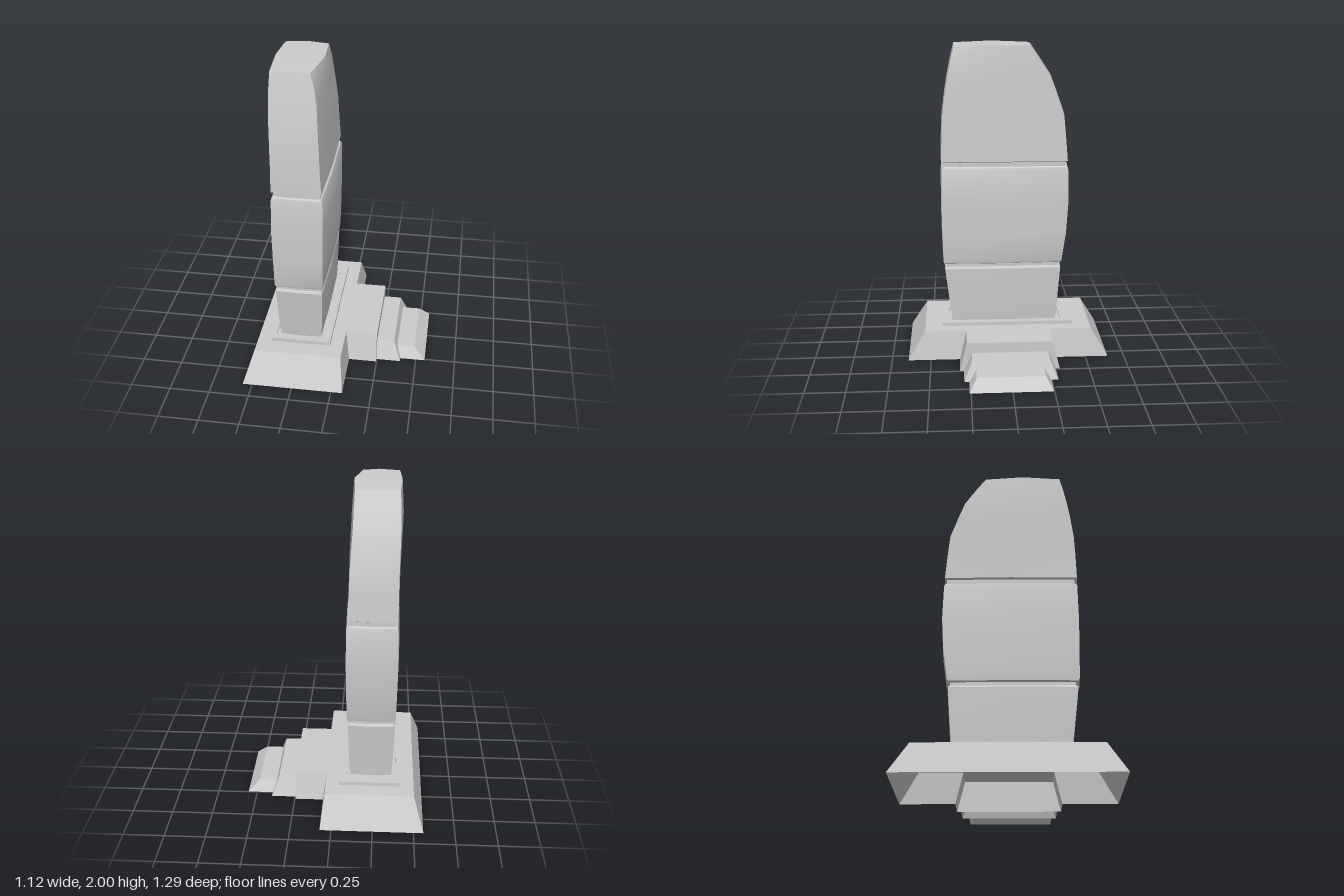
import * as THREE from 'three';
import { toCreasedNormals } from 'three/addons/utils/BufferGeometryUtils.js';

const material = new THREE.MeshStandardMaterial({ color: 0xcccccc, side: THREE.DoubleSide });

// Skins a stack of rings (each a list of [x, y, z], anticlockwise from above).
function loft(rings, { closed = true, cap = null } = {}) {
  const n = rings[0].length;
  const points = rings.flat();
  const index = [];
  for (let r = 0; r < rings.length - 1; r++) {
    for (let i = 0; i < (closed ? n : n - 1); i++) {
      const j = (i + 1) % n;
      const a = r * n + i, b = r * n + j;
      index.push(a, b, b + n, a, b + n, a + n);
    }
  }
  if (cap) {
    const start = (rings.length - 1) * n;
    points.push(cap);
    for (let i = 0; i < n; i++) index.push(start + i, start + (i + 1) % n, points.length - 1);
  }
  const geometry = new THREE.BufferGeometry();
  geometry.setAttribute('position', new THREE.Float32BufferAttribute(points.flat(), 3));
  geometry.setIndex(index);
  return toCreasedNormals(geometry, 0.4);
}

function part(name, geometry) {
  const mesh = new THREE.Mesh(geometry, material);
  mesh.name = name;
  return mesh;
}

const rect = (y, x0, x1, zBack, zFront) =>
  [[x1, y, zFront], [x1, y, zBack], [x0, y, zBack], [x0, y, zFront]];

// Platform outline: a long rectangle with a landing on its left side
const platformRing = (y, x0, x1, z, landingZ) => [
  [x1, y, z], [x1, y, landingZ], [0.245, y, landingZ], [0.245, y, -landingZ],
  [x1, y, -landingZ], [x1, y, -z], [x0, y, -z], [x0, y, z],
];

// Stone section: four corners, with the middle of each side pushed out
function stoneRing([y, x0, x1, zBack, zFront, bulge]) {
  const xm = (x0 + x1) / 2, zm = (zBack + zFront) / 2;
  const l = x0 + bulge, r = x1 - bulge;
  return [
    [r, y, zFront - 0.006], [x1, y, zm], [r, y, zBack + 0.01], [xm, y, zBack],
    [l, y, zBack + 0.01], [x0, y, zm], [l, y, zFront - 0.006], [xm, y, zFront],
  ];
}

export function createModel() {
  const group = new THREE.Group();
  group.name = 'standingStone';

  // Sloped platform walls
  const top = platformRing(0.187, -0.5, 0.045, 0.535, 0.27);
  group.add(part('platformWalls', loft([platformRing(0, -0.56, 0.07, 0.645, 0.315), top])));

  // Platform top, open beneath the plinth
  const toShape = (ring) => ring.map(([x, , z]) => new THREE.Vector2(x, -z));
  const plinthLow = rect(0.187, -0.412, -0.037, -0.427, 0.425);
  const topShape = new THREE.Shape(toShape(top));
  topShape.holes.push(new THREE.Path(toShape(plinthLow)));
  const topGeometry = new THREE.ShapeGeometry(topShape).rotateX(-Math.PI / 2).translate(0, 0.187, 0);
  group.add(part('platformTop', topGeometry));

  // Thin plinth with a shallow socket for the stone
  group.add(part('plinth', loft([
    plinthLow,
    rect(0.21, -0.412, -0.037, -0.427, 0.425),
    rect(0.21, -0.388, -0.082, -0.345, 0.382),
    rect(0.2, -0.388, -0.082, -0.345, 0.382),
    rect(0.2, -0.36, -0.11, -0.318, 0.352),
  ])));

  // Two lower steps, open where they meet the mass behind
  const step = (low, high) => {
    // begin at the back inner corner so the inner side is the one left open
    const order = (r) => [r[3], r[0], r[1], r[2]];
    const [x0, x1, y] = [high[2][0], high[0][0], high[0][1]];
    return loft([order(low), order(high)], { closed: false, cap: [(x0 + x1) / 2, y, 0] });
  };
  group.add(part('upperStep', step(
    rect(0, 0.245, 0.4, -0.29, 0.29), rect(0.12, 0.245, 0.355, -0.24, 0.24))));
  group.add(part('lowerStep', step(
    rect(0, 0.4, 0.557, -0.247, 0.26), rect(0.067, 0.375, 0.487, -0.204, 0.215))));

  // Stone: y, x range, z range, side bulge; two narrow grooves divide it
  const sections = [
    [0.2, -0.365, -0.1, -0.327, 0.365, 0.004],
    [0.27, -0.373, -0.092, -0.333, 0.373, 0.006],
    [0.56, -0.385, -0.08, -0.355, 0.407, 0.008],
    [0.57, -0.38, -0.085, -0.351, 0.402, 0.008],
    [0.574, -0.373, -0.092, -0.343, 0.394, 0.006],
    [0.594, -0.373, -0.092, -0.343, 0.394, 0.006],
    [0.6, -0.386, -0.078, -0.358, 0.41, 0.008],
    [0.615, -0.388, -0.073, -0.362, 0.416, 0.008],
    [0.8, -0.393, -0.068, -0.388, 0.421, 0.01],
    [1.0, -0.396, -0.065, -0.4, 0.423, 0.01],
    [1.215, -0.388, -0.068, -0.395, 0.42, 0.008],
    [1.23, -0.384, -0.074, -0.39, 0.416, 0.008],
    [1.236, -0.372, -0.086, -0.38, 0.405, 0.006],
    [1.264, -0.372, -0.086, -0.38, 0.405, 0.006],
    [1.27, -0.387, -0.073, -0.392, 0.42, 0.008],
    [1.42, -0.389, -0.077, -0.38, 0.416, 0.012],
    [1.56, -0.392, -0.08, -0.367, 0.409, 0.014],
    [1.7, -0.397, -0.086, -0.318, 0.39, 0.016],
    [1.8, -0.4, -0.09, -0.28, 0.373, 0.018],
    [1.9, -0.394, -0.096, -0.213, 0.352, 0.014],
    [1.985, -0.388, -0.103, -0.152, 0.33, 0.012],
  ];
  const rings = sections.map(stoneRing);

  // Crown: sides rise to the middle and the front left corner is cut back
  const crown = rings[rings.length - 1];
  for (const i of [1, 5]) crown[i][1] = 1.993;
  for (const i of [3, 7]) crown[i][1] = 1.991;
  crown[0][0] = -0.148;
  rings[rings.length - 2][0][0] = -0.122;
  group.add(part('stone', loft(rings, { cap: [-0.24, 2, 0.07] })));

  return group;
}
